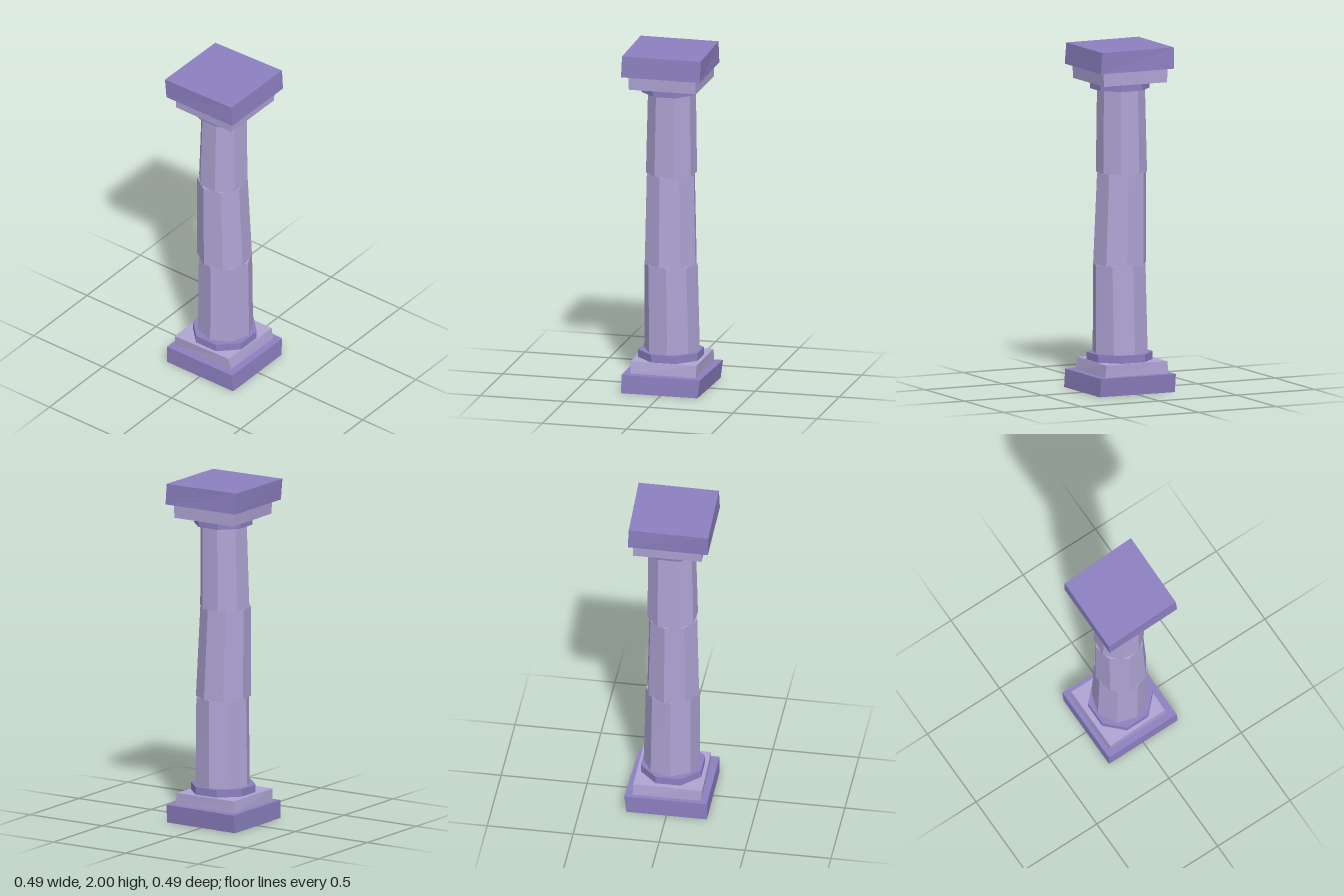
import * as THREE from 'three';

const trim = new THREE.MeshStandardMaterial({ color: 0x8c80c0 });
trim.name = 'violet trim';
const stone = new THREE.MeshStandardMaterial({ color: 0xaea4d4 });
stone.name = 'pale lilac stone';

// Flat-shaded closed solid between two [x, z] outlines, running from +z towards +x
function loft(name, material, y0, y1, bottom, top) {
  const n = bottom.length;
  const pos = [];
  const b = (i) => [bottom[i % n][0], y0, bottom[i % n][1]];
  const t = (i) => [top[i % n][0], y1, top[i % n][1]];
  for (let i = 0; i < n; i++) {
    pos.push(...b(i), ...b(i + 1), ...t(i + 1), ...b(i), ...t(i + 1), ...t(i));
  }
  for (let i = 1; i < n - 1; i++) {
    pos.push(...t(0), ...t(i), ...t(i + 1), ...b(0), ...b(i + 1), ...b(i));
  }
  const geometry = new THREE.BufferGeometry();
  geometry.setAttribute('position', new THREE.Float32BufferAttribute(pos, 3));
  geometry.computeVertexNormals();
  const mesh = new THREE.Mesh(geometry, material);
  mesh.name = name;
  return mesh;
}

// Eight-sided ring with a centre offset and a turn in degrees
function octagon(r, turn, cx = 0, cz = 0) {
  return Array.from({ length: 8 }, (_, i) => {
    const a = THREE.MathUtils.degToRad(turn + i * 45);
    return [cx + r * Math.sin(a), cz + r * Math.cos(a)];
  });
}

export function createModel() {
  const column = new THREE.Group();
  column.name = 'column';

  column.add(
    // Hand-cut square slabs: corners front left, front right, back right, back left
    loft('basePlinth', trim, 0, 0.107,
      [[-0.233, 0.24], [0.22, 0.24], [0.232, -0.237], [-0.235, -0.237]],
      [[-0.233, 0.233], [0.234, 0.236], [0.246, -0.237], [-0.235, -0.237]]),
    loft('baseStep', stone, 0.107, 0.177,
      [[-0.191, 0.19], [0.2, 0.195], [0.2, -0.214], [-0.196, -0.208]],
      [[-0.193, 0.176], [0.2, 0.186], [0.198, -0.206], [-0.203, -0.206]]),
    loft('capitalStep', stone, 1.797, 1.877,
      [[-0.198, 0.2], [0.2, 0.203], [0.2, -0.203], [-0.198, -0.2]],
      [[-0.2, 0.203], [0.201, 0.206], [0.2, -0.208], [-0.198, -0.205]]),
    loft('capitalSlab', trim, 1.877, 2,
      [[-0.235, 0.235], [0.235, 0.241], [0.225, -0.235], [-0.241, -0.237]],
      [[-0.231, 0.227], [0.237, 0.232], [0.219, -0.238], [-0.245, -0.245]]),

    // Collars
    loft('lowerCollar', trim, 0.177, 0.222, octagon(0.19, 22.5), octagon(0.19, 22.5)),
    loft('upperCollar', trim, 1.752, 1.797, octagon(0.171, 22.5), octagon(0.171, 22.5)),

    // Shaft drums, each slightly turned and shifted
    loft('lowerDrum', stone, 0.222, 0.735,
      octagon(0.162, 5, 0.006), octagon(0.156, 4, 0.001, 0.004)),
    loft('middleDrum', stone, 0.735, 1.266,
      octagon(0.158, -11, -0.002), octagon(0.146, -11, -0.005, -0.014)),
    loft('upperDrum', stone, 1.266, 1.752,
      octagon(0.147, 18, 0, -0.011), octagon(0.138, 18, 0.004, -0.006)),
  );
  return column;
}
